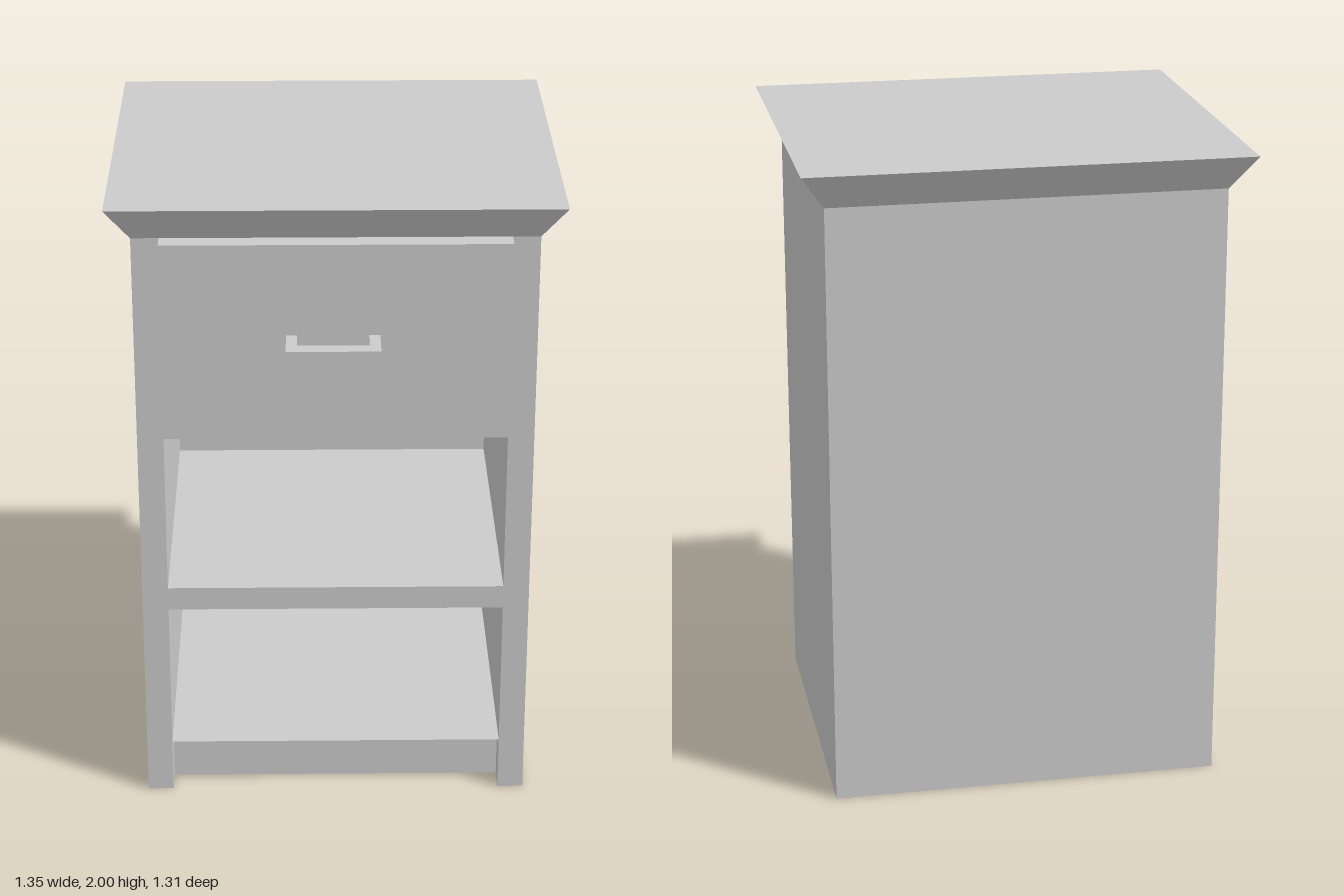
import * as THREE from 'three';

const material = new THREE.MeshStandardMaterial({ color: 0xcccccc, flatShading: true, side: THREE.DoubleSide });

// Main dimensions of the carcass
const W = 0.6, IN = 0.52, H = 1.89;
const FRONT = 0.475, BACK = -0.587, INNER_BACK = -0.51, KICK_Z = 0.395;
const FLOOR = 0.175, SHELF_LOW = 0.655, SHELF_TOP = 0.73, CEILING = 1.27;

function add(parent, name, geometry) {
  const mesh = new THREE.Mesh(geometry, material);
  mesh.name = name;
  parent.add(mesh);
  return mesh;
}

// Solid box given by its limits
function block(parent, name, x0, x1, y0, y1, z0, z1) {
  const mesh = add(parent, name, new THREE.BoxGeometry(x1 - x0, y1 - y0, z1 - z0));
  mesh.position.set((x0 + x1) / 2, (y0 + y1) / 2, (z0 + z1) / 2);
}

// Thin sheets across each axis
function sheetX(parent, name, x, y0, y1, z0, z1) {
  const g = new THREE.PlaneGeometry(z1 - z0, y1 - y0).rotateY(Math.sign(x) * Math.PI / 2);
  add(parent, name, g.translate(x, (y0 + y1) / 2, (z0 + z1) / 2));
}
function sheetY(parent, name, y, halfWidth, z0, z1) {
  const g = new THREE.PlaneGeometry(halfWidth * 2, z1 - z0).rotateX(-Math.PI / 2);
  add(parent, name, g.translate(0, y, (z0 + z1) / 2));
}
function sheetZ(parent, name, z, halfWidth, y0, y1) {
  const g = new THREE.PlaneGeometry(halfWidth * 2, y1 - y0);
  add(parent, name, g.translate(0, (y0 + y1) / 2, z));
}

// Open compartment lining: floor, ceiling, back and both sides
function compartment(parent, name, y0, y1) {
  const group = new THREE.Group();
  group.name = name;
  sheetY(group, 'compartmentFloor', y0, IN, INNER_BACK, FRONT);
  sheetY(group, 'compartmentCeiling', y1, IN, INNER_BACK, FRONT);
  sheetZ(group, 'compartmentBack', INNER_BACK, IN, y0, y1);
  for (const s of [-1, 1]) sheetX(group, 'compartmentSide', s * IN, y0, y1, INNER_BACK, FRONT);
  parent.add(group);
}

function makeCarcass() {
  const carcass = new THREE.Group();
  carcass.name = 'carcass';

  // Front frame: stiles, shelf edge and the panel behind the drawer
  const frame = new THREE.Shape([
    [-W, 0], [-IN, 0], [-IN, SHELF_LOW], [IN, SHELF_LOW], [IN, 0], [W, 0], [W, H], [-W, H],
  ].map(([x, y]) => new THREE.Vector2(x, y)));
  frame.holes.push(new THREE.Path([
    [-IN, SHELF_TOP], [-IN, CEILING], [IN, CEILING], [IN, SHELF_TOP],
  ].map(([x, y]) => new THREE.Vector2(x, y))));
  add(carcass, 'frontFrame', new THREE.ShapeGeometry(frame).translate(0, 0, FRONT));

  // Outer walls
  sheetZ(carcass, 'backWall', BACK, W, 0, H);
  for (const s of [-1, 1]) {
    sheetX(carcass, 'sideWall', s * W, 0, H, BACK, FRONT);
    sheetX(carcass, 'stileReturn', s * IN, 0, FLOOR, KICK_Z, FRONT);
  }

  // Recessed kick board under the bottom shelf
  sheetZ(carcass, 'kickBoard', KICK_Z, IN, 0, FLOOR);

  compartment(carcass, 'lowerCompartment', FLOOR, SHELF_LOW);
  compartment(carcass, 'upperCompartment', SHELF_TOP, CEILING);
  return carcass;
}

function makeDrawer() {
  const drawer = new THREE.Group();
  drawer.name = 'drawer';
  block(drawer, 'drawerFront', -0.517, 0.517, CEILING, H, FRONT, 0.535);

  // Pull handle: two arms and a grip
  const handle = new THREE.Group();
  handle.name = 'handle';
  block(handle, 'handleGrip', -0.148, 0.13, 1.56, 1.605, 0.61, 0.656);
  for (const x of [-0.148, 0.097]) block(handle, 'handleArm', x, x + 0.033, 1.56, 1.605, 0.535, 0.61);
  drawer.add(handle);
  return drawer;
}

// Table top that flares outwards from the carcass
function makeTop() {
  const flare = 0.07;
  const g = new THREE.BoxGeometry(W * 2, 2 - H, FRONT - BACK);
  const p = g.attributes.position;
  for (let i = 0; i < p.count; i++) {
    if (p.getY(i) > 0) {
      p.setX(i, p.getX(i) + Math.sign(p.getX(i)) * (flare + 0.003));
      p.setZ(i, p.getZ(i) + Math.sign(p.getZ(i)) * flare);
    }
  }
  g.translate(0, (2 + H) / 2, (FRONT + BACK) / 2);
  g.computeVertexNormals();
  return g;
}

export function createModel() {
  const model = new THREE.Group();
  model.name = 'nightstand';
  model.add(makeCarcass(), makeDrawer());
  add(model, 'tableTop', makeTop());
  return model;
}
